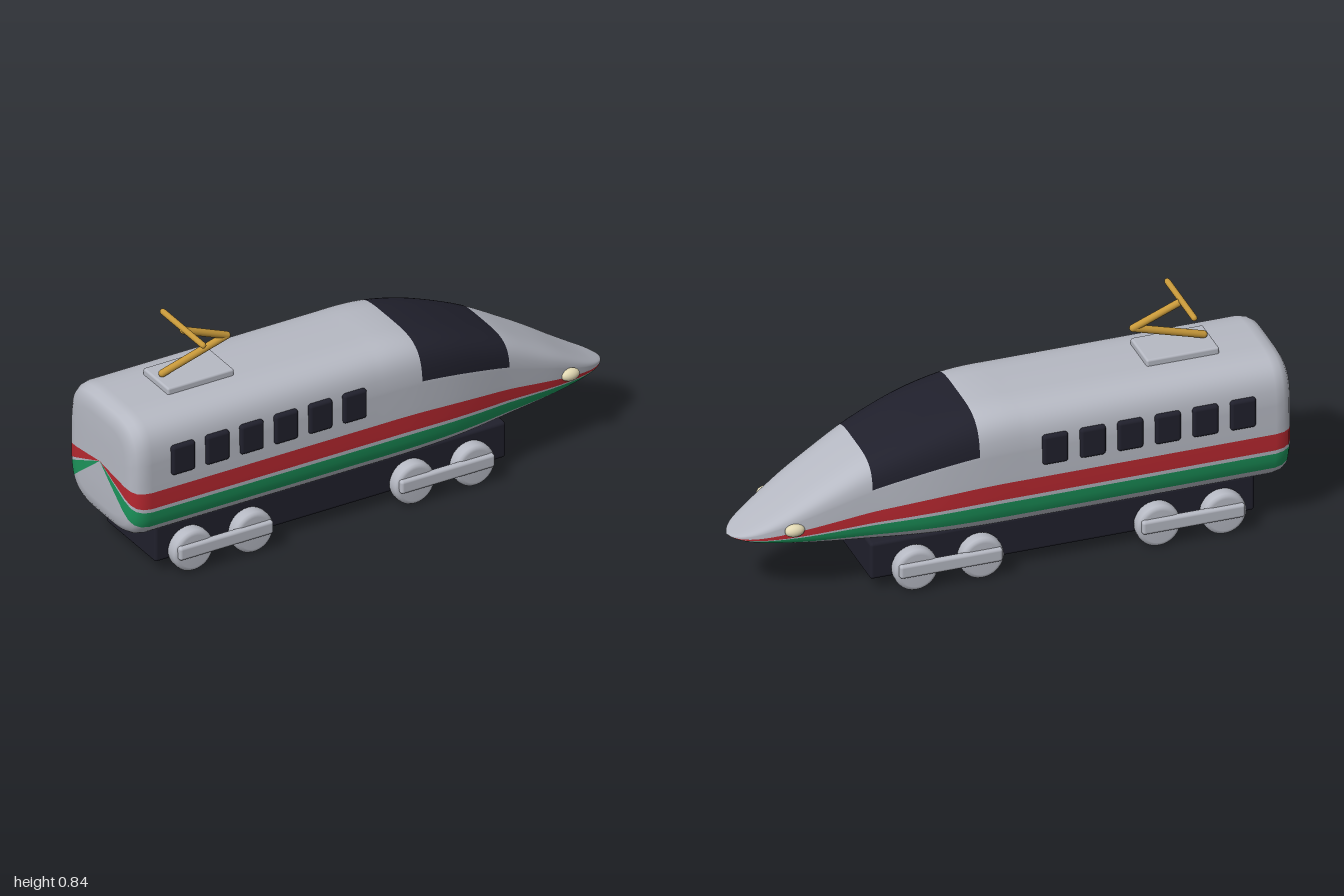
import * as THREE from 'three';
import { RoundedBoxGeometry } from 'three/addons/geometries/RoundedBoxGeometry.js';

const material = (name, color) => {
  const m = new THREE.MeshStandardMaterial({ color });
  m.name = name;
  return m;
};

export function createModel() {
  const grey = material('bodyGrey', 0xb6b9c3);
  const dark = material('darkNavy', 0x20202c);
  const red = material('stripeRed', 0xb82830);
  const green = material('stripeGreen', 0x1c965c);
  const gold = material('brassGold', 0xc8993a);
  const cream = material('lampCream', 0xe2d9b4);

  const train = new THREE.Group();
  train.name = 'train';

  const add = (name, geometry, mat, x, y, z, parent = train) => {
    const mesh = new THREE.Mesh(geometry, mat);
    mesh.name = name;
    mesh.position.set(x, y, z);
    parent.add(mesh);
    return mesh;
  };
  const box = (w, h, d, r) => new RoundedBoxGeometry(w, h, d, 3, r);

  train.add(buildBody([grey, red, green, dark]));

  // underframe
  add('underframe', box(1.402, 0.142, 0.33, 0.012), dark, -0.161, 0.116, 0);

  // side windows
  const windowGeo = box(0.094, 0.115, 0.03, 0.012);
  for (const side of [1, -1])
    for (let i = 0; i < 6; i++)
      add('sideWindow', windowGeo, dark, -0.793 + i * 0.137, 0.478, side * 0.231);

  // bogies: two wheels and a side bar on each side
  const wheelProfile = [[0, -0.03], [0.062, -0.03], [0.072, -0.027], [0.078, -0.02], [0.08, -0.011],
    [0.08, 0.011], [0.078, 0.02], [0.072, 0.027], [0.062, 0.03], [0, 0.03]];
  const wheelGeo = new THREE.LatheGeometry(wheelProfile.map(p => new THREE.Vector2(...p)), 36);
  wheelGeo.rotateX(Math.PI / 2);
  const barGeo = box(0.375, 0.052, 0.028, 0.011);
  for (const x of [-0.616, 0.268]) {
    const bogie = new THREE.Group();
    bogie.name = 'bogie';
    bogie.position.x = x;
    train.add(bogie);
    for (const side of [1, -1]) {
      for (const dx of [-0.12, 0.12]) add('wheel', wheelGeo, grey, dx, 0.081, side * 0.19, bogie);
      add('bogieSideBar', barGeo, grey, 0, 0.092, side * 0.221, bogie);
    }
  }

  // headlights
  const lampGeo = new THREE.SphereGeometry(1, 24, 16).scale(0.036, 0.023, 0.022);
  for (const side of [1, -1]) add('headlight', lampGeo, cream, 0.808, 0.283, side * 0.143);

  // roof plate and folding current collector
  add('roofPlate', box(0.265, 0.034, 0.168, 0.008), grey, -0.63, 0.648, 0);
  const rod = (name, a, b, r) => {
    const from = new THREE.Vector3(...a), to = new THREE.Vector3(...b);
    const dir = to.clone().sub(from);
    const mesh = add(name, new THREE.CapsuleGeometry(r, dir.length(), 3, 16), gold, 0, 0, 0);
    mesh.position.copy(from).add(to).multiplyScalar(0.5);
    mesh.quaternion.setFromUnitVectors(new THREE.Vector3(0, 1, 0), dir.normalize());
  };
  rod('lowerArm', [-0.735, 0.677, 0], [-0.478, 0.752, 0], 0.0135);
  rod('upperArm', [-0.478, 0.752, 0], [-0.65, 0.822, 0], 0.0135);
  rod('contactBar', [-0.652, 0.83, -0.134], [-0.652, 0.83, 0.134], 0.011);

  // the whole train is turned slightly
  train.rotation.y = -0.109;
  train.position.z = 0.026;
  const model = new THREE.Group();
  model.name = 'model';
  model.add(train);
  return model;
}

// Body shell: rounded sections lofted from tail to nose; stripes and windscreen are material groups
function buildBody(materials) {
  const power = 4, halfPi = Math.PI / 2;
  const screenStart = 0.165, screenEnd = 0.54, screenLow = 0.39;
  const bands = [-0.73, -0.46, -0.4, -0.13, screenLow];

  // section outline in unit size, with points exactly on the colour borders
  const angles = bands.map(s => Math.sign(s) * Math.asin(Math.abs(s) ** (power / 2)));
  for (let i = 0; i <= 28; i++) angles.push(-halfPi + (i / 28) * Math.PI);
  angles.sort((a, b) => a - b);
  const half = angles.map(a => [
    Math.max(0, Math.cos(a)) ** (2 / power),
    Math.sign(Math.sin(a)) * Math.abs(Math.sin(a)) ** (2 / power)]);
  const outline = [...half, ...half.slice(1, -1).reverse().map(([z, y]) => [-z, y])];

  // stations: x, bottom, top, half width
  const stations = [];
  for (const [x, k] of [[-0.985, 0.001], [-0.985, 0.35], [-0.984, 0.7], [-0.979, 0.84],
    [-0.967, 0.925], [-0.945, 0.978], [-0.915, 1]])
    stations.push([x, 0.404 - 0.238 * k, 0.404 + 0.238 * k, 0.235 * k]);
  const nose = new THREE.CatmullRomCurve3([
    [-0.02, 0.642, 0.235], [0.07, 0.642, 0.235], [screenStart, 0.634, 0.2335], [0.3, 0.604, 0.225],
    [0.42, 0.563, 0.209], [screenEnd, 0.512, 0.188], [0.66, 0.443, 0.168], [0.76, 0.382, 0.149],
    [0.86, 0.316, 0.121], [0.93, 0.273, 0.092], [0.975, 0.249, 0.06], [0.998, 0.237, 0.026],
    [1.006, 0.232, 0.001]].map(p => new THREE.Vector3(...p)));
  const steps = 36;
  for (let i = 0; i <= steps; i++) {
    const p = nose.getPoint(i / steps);
    const bottom = 0.166 + 0.064 * Math.max(0, p.x) ** 2;
    stations.push([p.x, Math.min(bottom, p.y - 0.001), p.y, p.z]);
  }

  const positions = [];
  for (const [x, bottom, top, width] of stations)
    for (const [z, y] of outline)
      positions.push(x, (top + bottom) / 2 + (y * (top - bottom)) / 2, z * width);

  // sort the faces by colour
  const faces = materials.map(() => []);
  const n = outline.length;
  for (let i = 0; i < stations.length - 1; i++) {
    const midX = (stations[i][0] + stations[i + 1][0]) / 2;
    for (let k = 0; k < n; k++) {
      const k2 = (k + 1) % n;
      const s = (outline[k][1] + outline[k2][1]) / 2;
      let colour = 0;
      if (s > -0.4 && s < -0.13) colour = 1;
      else if (s > -0.73 && s < -0.46) colour = 2;
      else if (s > screenLow && midX > screenStart && midX < screenEnd) colour = 3;
      const a = i * n + k, b = a + n, c = (i + 1) * n + k2, d = i * n + k2;
      faces[colour].push(a, b, c, a, c, d);
    }
  }
  const geometry = new THREE.BufferGeometry();
  geometry.setAttribute('position', new THREE.Float32BufferAttribute(positions, 3));
  geometry.setIndex(faces.flat());
  let start = 0;
  faces.forEach((list, m) => {
    geometry.addGroup(start, list.length, m);
    start += list.length;
  });
  geometry.computeVertexNormals();
  const body = new THREE.Mesh(geometry, materials);
  body.name = 'body';
  return body;
}
